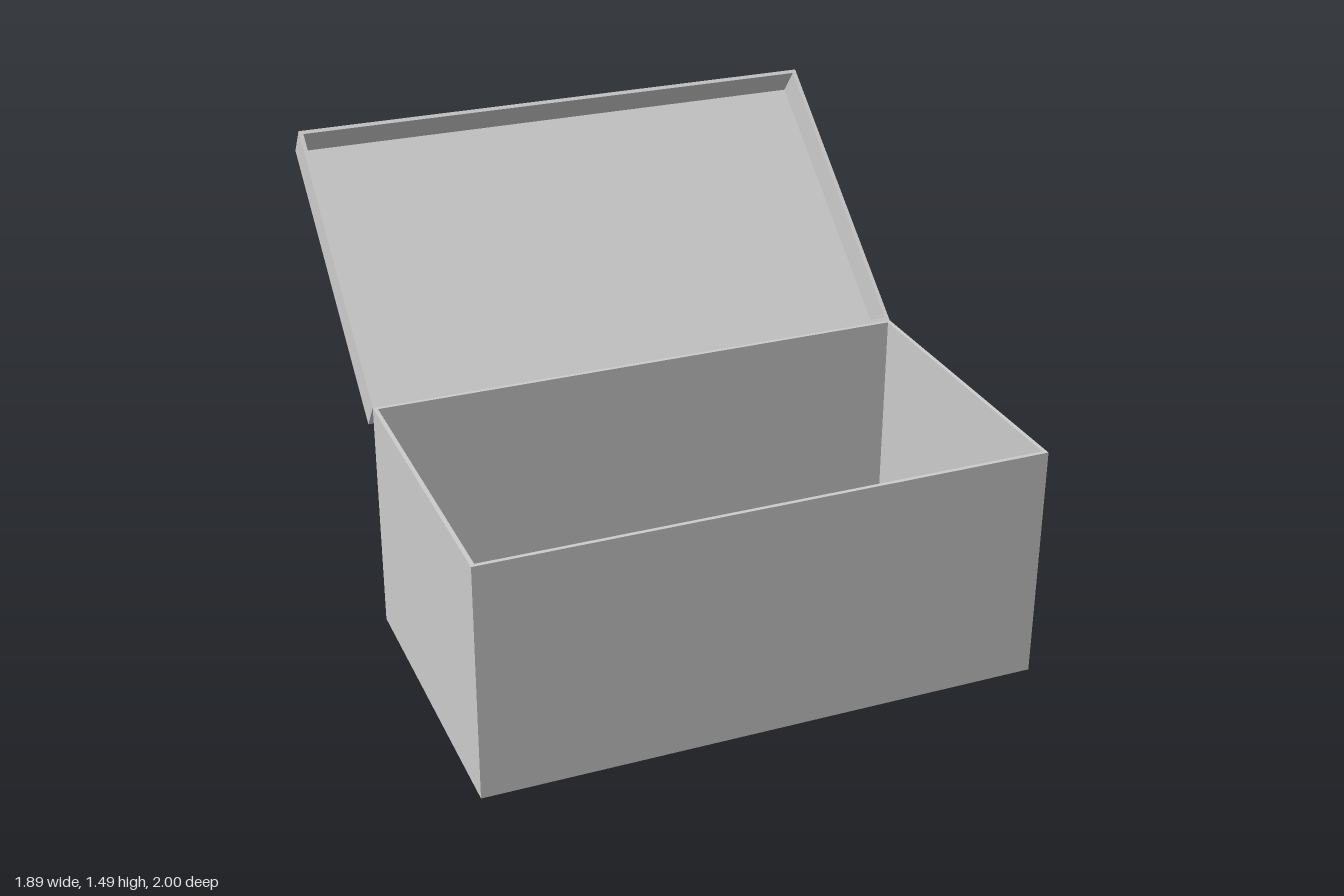
import * as THREE from 'three';

const W = 1.89, D = 1.08, WALL = 0.014;
const BOX_H = 0.81, LID_H = 0.125, LID_TILT = 0.677;

const material = new THREE.MeshStandardMaterial({ color: 0xcccccc });

function rectangle(Type, w, d) {
  const r = new Type();
  r.moveTo(-w / 2, -d / 2);
  r.lineTo(w / 2, -d / 2);
  r.lineTo(w / 2, d / 2);
  r.lineTo(-w / 2, d / 2);
  r.closePath();
  return r;
}

// Open-topped tray standing on y = 0: a ring of walls and a floor panel
function tray(name, height) {
  const group = new THREE.Group();
  group.name = name;
  const ring = rectangle(THREE.Shape, W, D);
  ring.holes.push(rectangle(THREE.Path, W - 2 * WALL, D - 2 * WALL));
  const wallGeo = new THREE.ExtrudeGeometry(ring, { depth: height, bevelEnabled: false });
  wallGeo.rotateX(-Math.PI / 2);
  const walls = new THREE.Mesh(wallGeo, material);
  walls.name = name + 'Walls';

  const panel = new THREE.Mesh(new THREE.BoxGeometry(W - 2 * WALL, WALL, D - 2 * WALL), material);
  panel.name = name + 'Panel';
  panel.position.y = WALL / 2;
  group.add(walls, panel);
  return group;
}

export function createModel() {
  const model = new THREE.Group();
  model.name = 'openBox';

  // Box body, with its back wall at the hinge line
  const body = tray('body', BOX_H);
  body.position.z = 1 - D / 2;
  model.add(body);

  // Thin sheet lying on the box floor
  const sheet = new THREE.Mesh(new THREE.BoxGeometry(1.53, 0.004, 0.85), material);
  sheet.name = 'floorSheet';
  sheet.position.y = WALL + 0.002;
  body.add(sheet);

  // Lid swung open about the rear top edge of the body
  const hinge = new THREE.Group();
  hinge.name = 'lidHinge';
  hinge.position.set(0, BOX_H, 1 - D);
  hinge.rotation.x = LID_TILT;
  const lid = tray('lid', LID_H);
  lid.position.set(0, -LID_H, -D / 2);
  hinge.add(lid);
  model.add(hinge);

  return model;
}
